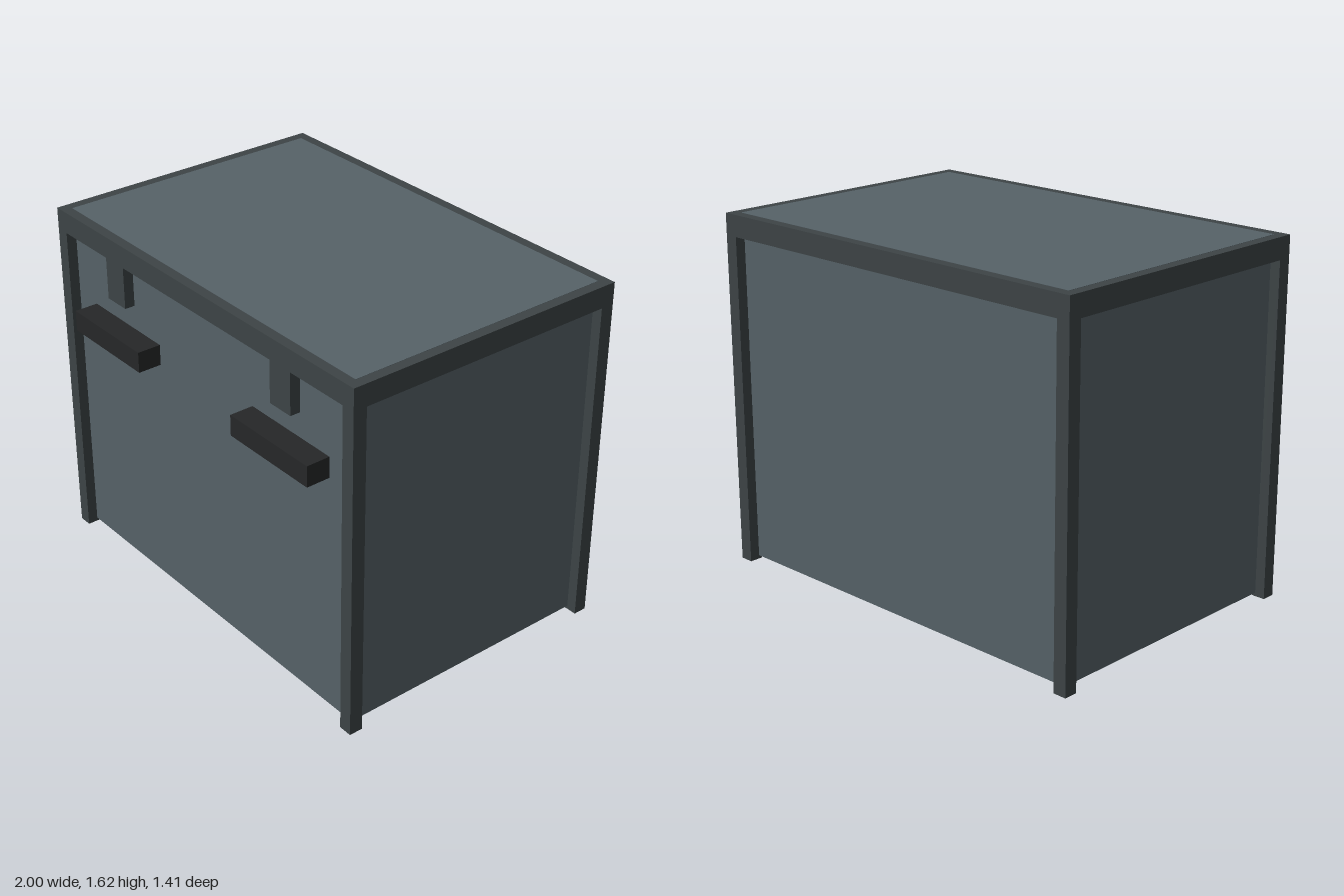
import * as THREE from 'three';

const mat = (color) => new THREE.MeshStandardMaterial({ color });

export function createModel() {
  const group = new THREE.Group();
  const panelMat = mat(0x566268);
  const frameMat = mat(0x3d4446);
  const handleMat = mat(0x262728);

  // Box given by its min and max corners
  const box = (name, material, [x0, y0, z0], [x1, y1, z1]) => {
    const mesh = new THREE.Mesh(new THREE.BoxGeometry(x1 - x0, y1 - y0, z1 - z0), material);
    mesh.position.set((x0 + x1) / 2, (y0 + y1) / 2, (z0 + z1) / 2);
    mesh.name = name;
    group.add(mesh);
  };

  const H = 1.614, railY = 1.516, post = 0.0625, inset = 0.047;
  const zBack = -0.706, zFront = 0.644;

  // Body recessed inside the frame, a hair proud at the top
  box('body', panelMat, [-1 + inset, 0.016, zBack + inset], [1 - inset, H + 0.001, zFront - inset]);

  // Top frame
  box('topFrame', frameMat, [-1, railY, zBack], [1, H, zFront]);

  for (const [side, s] of [['left', 1], ['right', -1]]) {
    const span = (a, b) => (s > 0 ? [a, b] : [-b, -a]);

    // Corner posts
    const [p0, p1] = span(1 - post, 1);
    box(side + 'FrontPost', frameMat, [p0, 0, zFront - post], [p1, railY, zFront]);
    box(side + 'BackPost', frameMat, [p0, 0, zBack], [p1, railY, zBack + post]);

    // Latch tab hanging from the front rail
    const [t0, t1] = span(0.5, 0.627);
    box(side + 'LatchTab', frameMat, [t0, 1.325, zFront - inset], [t1, railY, zFront]);

    // Bar handle
    const [h0, h1] = span(0.322, 0.805);
    box(side + 'Handle', handleMat, [h0, 1.117, zFront - inset], [h1, 1.212, 0.706]);
  }
  return group;
}
